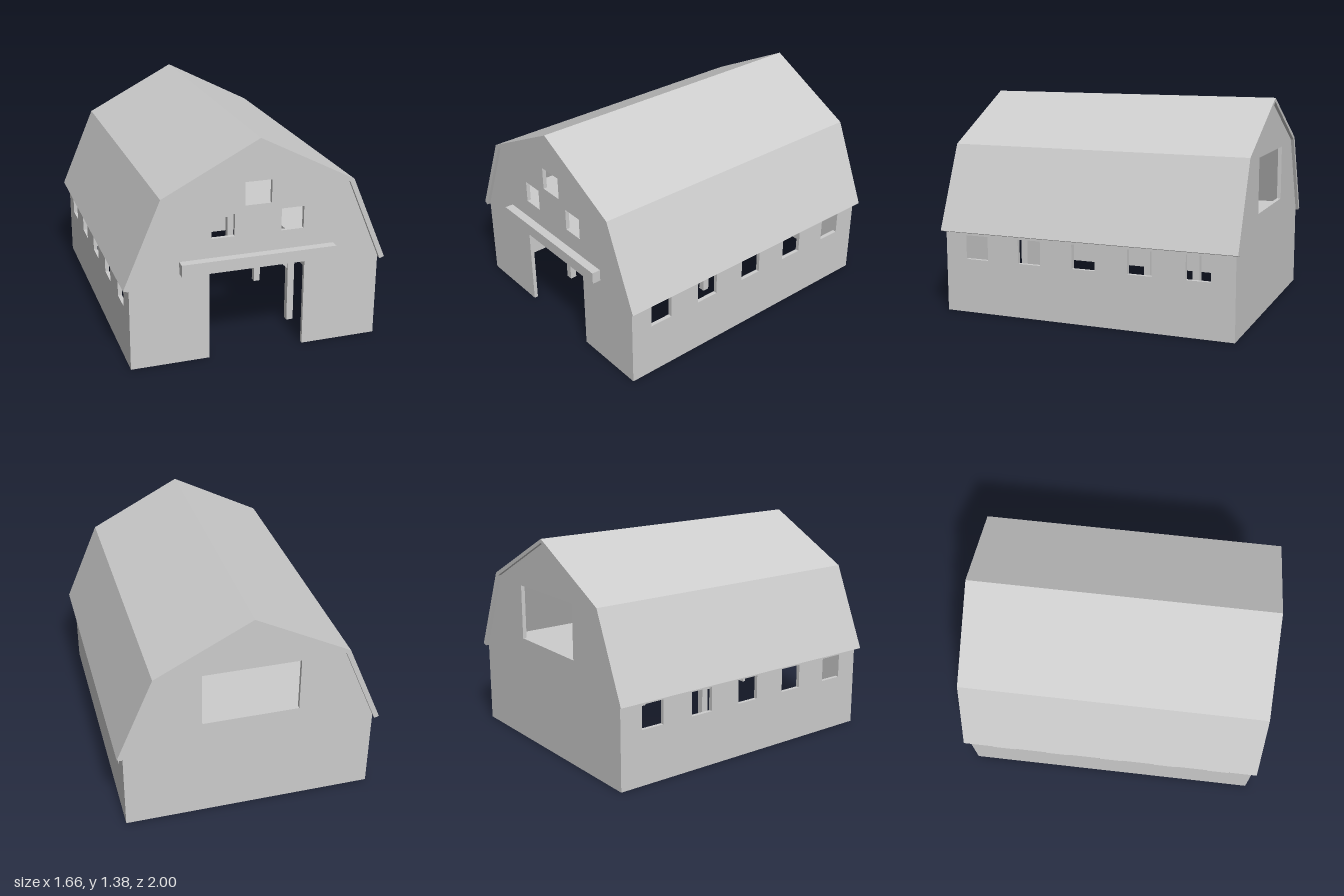
import * as THREE from 'three';

const HALF = 0.793, FRONT = 0.945, BACK = -0.98, WALL = 0.025;

// closed shape from points, with rectangular holes [x0, x1, y0, y1]
function makeShape(points, holes = []) {
  const toV = (p) => new THREE.Vector2(p[0], p[1]);
  const shape = new THREE.Shape(points.map(toV));
  for (const [x0, x1, y0, y1] of holes) {
    shape.holes.push(new THREE.Path([[x0, y0], [x0, y1], [x1, y1], [x1, y0]].map(toV)));
  }
  return shape;
}

const extrude = (shape, depth) =>
  new THREE.ExtrudeGeometry(shape, { depth, bevelEnabled: false });

export function createModel() {
  const group = new THREE.Group();
  group.name = 'barn';
  const grey = new THREE.MeshStandardMaterial({ color: 0xcccccc });
  grey.name = 'light grey';

  const add = (name, geometry, x = 0, y = 0, z = 0) => {
    const mesh = new THREE.Mesh(geometry, grey);
    mesh.name = name;
    mesh.position.set(x, y, z);
    group.add(mesh);
    return mesh;
  };
  // box given by its limits
  const addBox = (name, x0, x1, y0, y1, z0, z1) =>
    add(name, new THREE.BoxGeometry(x1 - x0, y1 - y0, z1 - z0),
      (x0 + x1) / 2, (y0 + y1) / 2, (z0 + z1) / 2);

  // gable walls
  const gable = [[HALF, 0], [HALF, 0.535], [0.574, 1.05], [0, 1.35],
    [-0.574, 1.05], [-HALF, 0.535], [-HALF, 0]];
  const door = [[-0.303, 0], [-0.303, 0.6], [0.303, 0.6], [0.303, 0]];
  add('frontWall', extrude(makeShape([...gable, ...door], [
    [-0.29, -0.147, 0.78, 0.92],
    [0.147, 0.29, 0.78, 0.92],
    [-0.083, 0.083, 0.965, 1.11],
  ]), WALL), 0, 0, FRONT - WALL);
  add('backWall', extrude(makeShape(gable, [[-0.304, 0.304, 0.68, 1.03]]), WALL), 0, 0, BACK);

  // side walls with five windows each
  const windows = [];
  for (let i = -2; i <= 2; i++) {
    const c = 0.0145 + i * 0.3685;
    windows.push([c - 0.077, c + 0.077, 0.35, 0.505]);
  }
  const z0 = -(FRONT - WALL), z1 = -(BACK + WALL);
  const sideGeometry = extrude(
    makeShape([[z0, 0], [z1, 0], [z1, 0.53], [z0, 0.53]], windows), WALL);
  sideGeometry.rotateY(Math.PI / 2);
  add('leftWall', sideGeometry, HALF - WALL);
  add('rightWall', sideGeometry, -HALF);

  // gambrel roof shell
  add('roof', extrude(makeShape([
    [0.83, 0.53], [0.6, 1.065], [0, 1.375], [-0.6, 1.065], [-0.83, 0.53],
    [-0.8, 0.52], [-0.574, 1.05], [0, 1.35], [0.574, 1.05], [0.8, 0.52],
  ]), 1.965), 0, 0, -1);

  // door track beam
  addBox('doorTrack', -0.487, 0.487, 0.585, 0.66, FRONT, 1);

  // loft floor with an opening in the front middle bay
  const inner = HALF - WALL;
  const floor = extrude(makeShape(
    [[-inner, z0], [inner, z0], [inner, z1], [-inner, z1]],
    [[-0.37, 0.37, -0.6, 0]]), 0.015);
  floor.rotateX(-Math.PI / 2);
  add('loftFloor', floor, 0, 0.56, 0);

  // timber frames: cross beam, two posts, two knee braces
  for (const z of [-0.605, -0.015, 0.605]) {
    addBox('crossBeam', -inner, inner, 0.515, 0.56, z - 0.022, z + 0.022);
    for (const s of [-1, 1]) {
      addBox('post', s * 0.35 - 0.022, s * 0.35 + 0.022, 0, 0.515, z - 0.022, z + 0.022);
      const brace = makeShape([[s * 0.33, 0.363], [s * 0.33, 0.398], [s * 0.213, 0.515], [s * 0.178, 0.515]]);
      add('kneeBrace', extrude(brace, 0.03), 0, 0, z - 0.015);
    }
  }
  return group;
}
